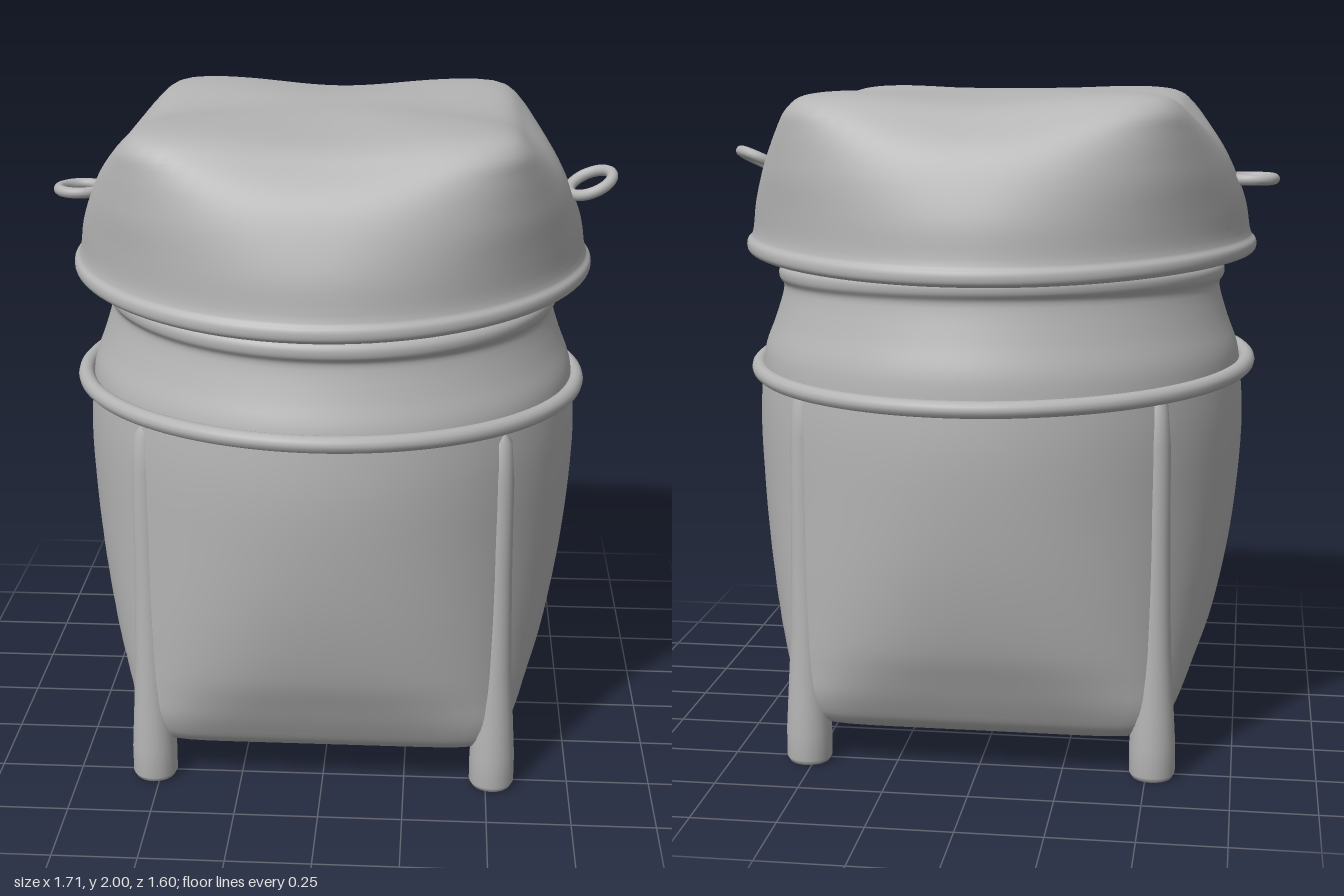
import * as THREE from 'three';

const SEG = 96;

// Loft rings from a profile of [height, half-width, corner/half-width ratio];
// ratio 0.707 is a circle, near 1 is a square. bend() shifts heights.
function loft(profile, bend) {
  const curve = new THREE.CatmullRomCurve3(
    profile.map(([y, a, k]) => new THREE.Vector3(a, y, k * 0.1)), false, 'centripetal');
  const rings = [];
  profile.forEach((_, i) => {
    for (let s = 0; s < 4 && (i < profile.length - 1 || s === 0); s++) {
      rings.push(curve.getPoint((i + s / 4) / (profile.length - 1)));
    }
  });
  const pos = [], index = [];
  rings.forEach((ring, i) => {
    const a = Math.max(ring.x, 0.001);
    const k = THREE.MathUtils.clamp(ring.z * 10, 0.7072, 0.95);
    const n = Math.LN2 / -Math.log(k);
    for (let j = 0; j < SEG; j++) {
      const t = (j / SEG) * Math.PI * 2, c = Math.cos(t), s = Math.sin(t);
      const r = a * Math.pow(Math.abs(c) ** n + Math.abs(s) ** n, -1 / n);
      pos.push(r * c, ring.y + bend(r * c, ring.y, r * s, t), r * s);
      if (i < rings.length - 1) {
        const p = i * SEG + j, q = i * SEG + (j + 1) % SEG;
        index.push(p, p + SEG, q, q, p + SEG, q + SEG);
      }
    }
  });
  const g = new THREE.BufferGeometry();
  g.setAttribute('position', new THREE.Float32BufferAttribute(pos, 3));
  g.setIndex(index);
  g.computeVertexNormals();
  return g;
}

export function createModel() {
  const group = new THREE.Group();
  const grey = new THREE.MeshStandardMaterial({ color: 0xb4b4b4 });
  grey.name = 'plain grey';
  const add = (name, geometry) => {
    const mesh = new THREE.Mesh(geometry, grey);
    mesh.name = name;
    group.add(mesh);
    return mesh;
  };
  const smooth = THREE.MathUtils.smoothstep;

  // Basket: square base growing into a round neck, then down the inside
  const C = 0.7072;
  add('basket', loft([
    [0.06, 0, 0.93], [0.075, 0.3, 0.93], [0.10, 0.48, 0.93], [0.135, 0.55, 0.93],
    [0.2, 0.59, 0.905], [0.3, 0.635, 0.845], [0.4, 0.675, 0.795], [0.6, 0.72, 0.745],
    [0.8, 0.745, 0.718], [1.0, 0.755, C], [1.15, 0.745, C], [1.22, 0.735, C],
    [1.3, 0.705, C], [1.39, 0.678, C], [1.41, 0.678, C], [1.43, 0.69, C],
    [1.455, 0.69, C], [1.47, 0.675, C], [1.455, 0.655, C], [1.4, 0.65, C],
    [1.16, 0.715, C], [0.8, 0.715, 0.718], [0.35, 0.63, 0.81], [0.2, 0.54, 0.9],
    [0.15, 0.45, 0.93], [0.12, 0, 0.93],
  ], (x, y, z) => smooth(y, 1.1, 1.45) * (-0.027 * z - 0.01 * x)));

  // Slightly tilted hoop around the shoulder
  const hoopPoints = [];
  for (let i = 0; i < 32; i++) {
    const t = (i / 32) * Math.PI * 2;
    hoopPoints.push(new THREE.Vector3(0.76 * Math.cos(t) - 0.005,
      1.165 + 0.025 * Math.sin(t) - 0.008 * Math.cos(t), 0.773 * Math.sin(t)));
  }
  add('shoulderHoop', new THREE.TubeGeometry(
    new THREE.CatmullRomCurve3(hoopPoints, true), 128, 0.025, 12, true));

  // Corner legs: stubby feet that thin into ribs up to the hoop
  const legProfile = [[0, 0.005], [0.06, 0.005], [0.068, 0.015], [0.068, 0.1], [0.062, 0.2],
    [0.05, 0.4], [0.043, 0.7], [0.04, 1.0], [0.03, 1.12], [0, 1.16]]
    .map(([r, y]) => new THREE.Vector2(r, y));
  legProfile[0].y = legProfile[1].y = 0;
  for (const [x, z, name] of [[-1, 1, 'frontRightLeg'], [1, 1, 'frontLeftLeg'],
    [-1, -1, 'backRightLeg'], [1, -1, 'backLeftLeg']]) {
    add(name, new THREE.LatheGeometry(legProfile, 24)).position.set(x * 0.518, 0, z * 0.518);
  }

  // Lid: hollow, round rim below and a pillow-like square top
  add('lid', loft([
    [1.965, 0, 0.92], [1.955, 0.35, 0.92], [1.93, 0.53, 0.92], [1.86, 0.62, 0.845],
    [1.75, 0.685, 0.775], [1.6, 0.735, 0.72], [1.52, 0.75, C], [1.497, 0.758, C],
    [1.493, 0.772, C], [1.505, 0.785, C], [1.53, 0.785, C], [1.55, 0.77, C],
    [1.65, 0.752, 0.72], [1.75, 0.715, 0.76], [1.82, 0.68, 0.795], [1.89, 0.635, 0.845],
    [1.945, 0.585, 0.905], [1.98, 0.54, 0.93], [1.995, 0.47, 0.93], [1.995, 0.25, 0.93],
    [1.995, 0, 0.93],
  ], (x, y, z, t) => {
    const wave = 0.015 * Math.cos(2 * t) * smooth(2.0 - y, 0.1, 0.5);
    const sag = 0.03 * Math.cos(2 * t) ** 2 * smooth(y, 1.8, 1.97) * smooth(Math.hypot(x, z), 0.1, 0.55);
    return wave - sag;
  }));

  // Ring handles on both sides of the lid
  const ring = () => new THREE.TorusGeometry(0.068, 0.017, 12, 40).rotateX(Math.PI / 2);
  add('rightHandle', ring()).position.set(-0.768, 1.727, 0.015);
  const left = add('leftHandle', ring());
  left.position.set(0.775, 1.77, 0.04);
  left.quaternion.setFromUnitVectors(new THREE.Vector3(0, 1, 0),
    new THREE.Vector3(-0.42, 1, 0.25).normalize());

  return group;
}
